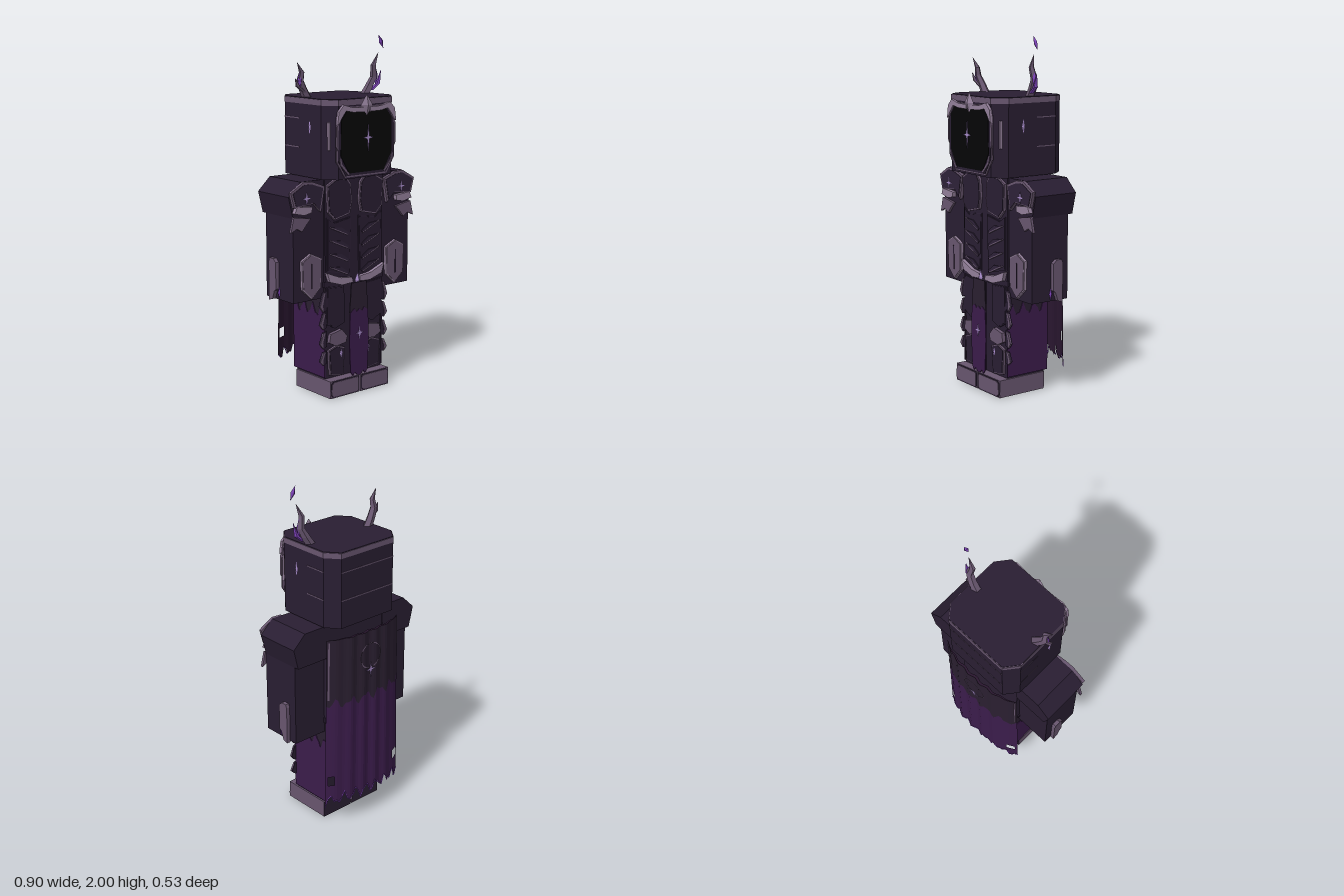
import * as THREE from 'three';

const mat = (name, color, extra = {}) => Object.assign(new THREE.MeshStandardMaterial({ color, flatShading: true, ...extra }), { name });
const armor = mat('dark armor', 0x291e32);
const plateDark = mat('plate dark', 0x2e2238);
const mauve = mat('mauve plate', 0x68566f);
const pale = mat('pale trim', 0x94809b);
const voidBlack = mat('void black', 0x050506);
const purple = mat('purple cloth', 0x3b1c4b);
const lining = mat('deep purple lining', 0x29162f);
const darkCloth = mat('dark cloth', 0x2a1f30);
const crystal = mat('violet crystal', 0x7d42b8);
const glow = mat('lavender glow', 0xa78bc9);

export function createModel() {
  const root = new THREE.Group();
  const add = (name, geo, m) => {
    const mesh = new THREE.Mesh(geo, m);
    mesh.name = name;
    root.add(mesh);
    return mesh;
  };
  const box = (name, x0, x1, y0, y1, z0, z1, m) => {
    const b = add(name, new THREE.BoxGeometry(Math.abs(x1 - x0), y1 - y0, z1 - z0), m);
    b.position.set((x0 + x1) / 2, (y0 + y1) / 2, (z0 + z1) / 2);
    return b;
  };
  const shapeOf = pts => new THREE.Shape(pts.map(p => new THREE.Vector2(...p)));
  // polygon in the front plane, extruded from z by depth
  const plate = (name, pts, z, depth, m) => {
    const g = new THREE.ExtrudeGeometry(shapeOf(pts), { depth, bevelEnabled: false });
    g.translate(0, 0, z);
    return add(name, g, m);
  };
  const flip = (pts, s) => pts.map(([x, y]) => [x * s, y]);
  const mirrored = pts => [...pts, ...flip(pts, -1).reverse()];
  // plate with a thin raised face inside a contrasting rim
  const rimmed = (name, pts, z, depth, face, rim, w = 0.007) => {
    plate(name + 'Rim', pts, z, depth, rim);
    const xs = pts.map(p => p[0]), ys = pts.map(p => p[1]);
    const x0 = Math.min(...xs), x1 = Math.max(...xs), y0 = Math.min(...ys), y1 = Math.max(...ys);
    const cx = (x0 + x1) / 2, cy = (y0 + y1) / 2;
    const kx = 1 - 2 * w / (x1 - x0), ky = 1 - 2 * w / (y1 - y0);
    plate(name, pts.map(([x, y]) => [cx + (x - cx) * kx, cy + (y - cy) * ky]), z, depth + 0.003, face);
  };
  const star = (name, x, y, z, w, h) => {
    const t = 0.2 * w;
    return plate(name, [[0, h], [t, t], [w, 0], [t, -t], [0, -h], [-t, -t], [-w, 0], [-t, t]].map(p => [p[0] + x, p[1] + y]), z, 0.003, glow);
  };
  const gem = (name, x, y, z, w, h, d, m) => {
    const g = add(name, new THREE.OctahedronGeometry(1), m);
    g.scale.set(w, h, d);
    g.position.set(x, y, z);
    return g;
  };
  // faces from a list of four-cornered loops
  const quads = (name, list, m) => {
    const g = new THREE.BufferGeometry();
    g.setAttribute('position', new THREE.Float32BufferAttribute(list.flatMap(([a, b, c, d]) => [a, b, c, a, c, d].flat()), 3));
    g.computeVertexNormals();
    return add(name, g, m);
  };

  // head: chamfered block with a lighter top band
  const octagon = (name, k, y, h, m) => {
    const pts = mirrored([[0.19, 0.235], [0.25, 0.16], [0.25, -0.16], [0.19, -0.235]]).map(p => [p[0] * k, p[1] * k]);
    const g = new THREE.ExtrudeGeometry(shapeOf(pts), { depth: h, bevelEnabled: false });
    g.rotateX(-Math.PI / 2);
    g.translate(0, y, 0);
    add(name, g, m);
  };
  octagon('head', 1, 1.24, 0.4, armor);
  octagon('headBand', 1.005, 1.64, 0.03, mauve);
  octagon('headTop', 0.99, 1.66, 0.014, armor);

  // face opening, brow and crest
  rimmed('faceFrame', mirrored([[0, 1.63], [0.16, 1.635], [0.205, 1.58], [0.208, 1.34], [0.15, 1.25]]), 0.232, 0.008, armor, mauve, 0.008);
  plate('faceVoid', mirrored([[0, 1.605], [0.14, 1.612], [0.18, 1.56], [0.182, 1.37], [0.125, 1.272]]), 0.24, 0.006, voidBlack);
  for (const s of [1, -1]) {
    plate('brow', flip([[0.02, 1.6], [0.02, 1.625], [0.1, 1.627], [0.165, 1.645], [0.2, 1.61], [0.21, 1.54], [0.195, 1.55], [0.18, 1.575], [0.15, 1.612], [0.1, 1.602]], s), 0.236, 0.016, pale);
    plate('cheekEdge', flip([[0.197, 1.55], [0.209, 1.53], [0.212, 1.42], [0.201, 1.4]], s), 0.236, 0.01, mauve);
    plate('jawEdge', flip([[0.182, 1.36], [0.192, 1.36], [0.185, 1.32], [0.13, 1.262], [0.122, 1.27], [0.174, 1.325]], s), 0.236, 0.011, mauve);
    gem('templeCrystal', s * 0.25, 1.515, 0.06, 0.006, 0.042, 0.01, glow);
    // slender strip on the front chamfer
    box('cheekStrip', s * 0.224 - 0.006, s * 0.224 + 0.006, 1.4, 1.55, 0.188, 0.202, pale);
    for (const y of [1.4, 1.56]) box('sideSeam', s * 0.25 - 0.002, s * 0.25 + 0.002, y - 0.003, y + 0.003, -0.16, -0.03, mauve);
  }
  for (const y of [1.4, 1.56]) box('backSeam', -0.19, 0.19, y - 0.003, y + 0.003, -0.237, -0.233, mauve);
  gem('crest', 0, 1.636, 0.245, 0.043, 0.06, 0.014, pale);
  star('faceStar', 0, 1.46, 0.258, 0.038, 0.075);

  // horns: five-sided rings lofted along a crooked path of [x, y, z, radius]
  const loft = (name, path, m) => {
    const list = [], n = 5;
    const at = (i, j) => {
      const [x, y, z, r] = path[i], a = j / n * Math.PI * 2;
      return [x + r * Math.cos(a), y, z - r * 0.8 * Math.sin(a)];
    };
    for (let i = 0; i < path.length - 1; i++) for (let j = 0; j < n; j++) list.push([at(i, j), at(i, j + 1), at(i + 1, j + 1), at(i + 1, j)]);
    quads(name, list, m);
  };
  loft('rightHorn', [[-0.205, 1.66, -0.012, 0.032], [-0.24, 1.72, -0.008, 0.027], [-0.265, 1.765, 0, 0.023], [-0.26, 1.81, 0.008, 0.017], [-0.297, 1.865, 0.015, 0.001]], mauve);
  loft('rightHornBranch', [[-0.235, 1.7, 0, 0.016], [-0.285, 1.735, 0.006, 0.015], [-0.308, 1.78, 0.012, 0.001]], mauve);
  loft('leftHorn', [[0.205, 1.66, -0.012, 0.032], [0.24, 1.715, -0.008, 0.028], [0.265, 1.765, 0, 0.023], [0.253, 1.83, 0.01, 0.018], [0.283, 1.9, 0.017, 0.001]], mauve);
  loft('leftHornCrystal', [[0.245, 1.69, 0.004, 0.014], [0.288, 1.725, 0.01, 0.016], [0.305, 1.8, 0.015, 0.001]], crystal);
  for (const s of [1, -1]) gem('hornVein', s * 0.272, 1.77, 0.006, 0.018, 0.055, 0.012, crystal);
  gem('floatingShard', 0.3, 1.962, 0.02, 0.016, 0.042, 0.011, crystal).rotation.z = 0.45;

  // torso and belt
  box('torso', -0.21, 0.21, 0.62, 1.24, -0.14, 0.14, armor);
  gem('beltGem', 0, 0.65, 0.172, 0.02, 0.045, 0.014, glow);
  for (const s of [1, -1]) {
    rimmed('chestPlate', flip([[0.035, 1.2], [0.06, 1.23], [0.14, 1.235], [0.205, 1.2], [0.195, 1.05], [0.15, 1.005], [0.04, 1.03], [0.025, 1.1]], s), 0.14, 0.014, armor, mauve, 0.009);
    rimmed('abdomenPlate', flip([[0.025, 1.01], [0.15, 0.99], [0.2, 1.02], [0.2, 0.72], [0.035, 0.68]], s), 0.139, 0.006, armor, plateDark, 0.006);
    for (let i = 0; i < 4; i++) {
      const y = 0.95 - i * 0.075;
      plate('rib', flip([[0.18, y + 0.015], [0.055, y - 0.04], [0.045, y - 0.03], [0.1, y + 0.008]], s), 0.145, 0.009, plateDark);
      plate('ribEdge', flip([[0.18, y + 0.012], [0.055, y - 0.043], [0.055, y - 0.036], [0.178, y + 0.019]], s), 0.146, 0.009, mauve);
    }
    plate('belt', flip([[0.21, 0.715], [0.19, 0.66], [0.1, 0.632], [0.02, 0.637], [0.03, 0.665], [0.11, 0.675]], s), 0.14, 0.022, pale);
    box('hipBand', s * 0.205 - 0.012, s * 0.205 + 0.012, 0.63, 0.66, -0.13, 0.142, armor);

    // arm with pauldron
    box('arm', s * 0.21, s * 0.42, 0.57, 1.1, -0.115, 0.13, armor);
    plate('pauldron', flip([[0.2, 1.235], [0.37, 1.235], [0.45, 1.16], [0.42, 1.04], [0.21, 1.04]], s), -0.145, 0.275, armor);
    rimmed('pauldronFront', flip([[0.215, 1.2], [0.3, 1.232], [0.36, 1.235], [0.448, 1.185], [0.425, 1.1], [0.29, 1.11], [0.24, 1.06]], s), 0.13, 0.018, plateDark, mauve, 0.014);
    star('pauldronStar', s * 0.345, 1.145, 0.152, 0.027, 0.032);
    plate('pauldronPlate', flip([[0.305, 1.095], [0.41, 1.105], [0.425, 1.07], [0.36, 1.055], [0.31, 1.065]], s), 0.13, 0.024, pale);
    plate('pauldronWing', flip([[0.31, 1.03], [0.425, 1.05], [0.447, 0.965], [0.405, 0.985], [0.37, 0.965], [0.34, 1]], s), 0.13, 0.015, mauve);
    // bracers
    rimmed('bracer', flip([[0.235, 0.8], [0.31, 0.835], [0.375, 0.8], [0.37, 0.64], [0.305, 0.58], [0.24, 0.64]], s), 0.13, 0.015, mauve, pale, 0.007);
    box('bracerGroove', s * 0.307 - 0.003, s * 0.307 + 0.003, 0.64, 0.78, 0.14, 0.151, armor);
    const guard = plate('armGuard', [[-0.032, 0.78], [-0.01, 0.8], [0.025, 0.8], [0.032, 0.78], [0.032, 0.56], [0, 0.57], [-0.018, 0.62], [-0.032, 0.63]], -0.012, 0.024, mauve);
    guard.rotation.y = Math.PI / 2;
    guard.position.set(s * 0.43, 0, -0.033);
    gem('armCrystal', s * 0.424, 0.61, 0.005, 0.008, 0.035, 0.01, crystal);

    // leg with armor plates
    box('leg', s * 0.002, s * 0.205, 0.09, 0.64, -0.12, 0.135, armor);
    rimmed('thighPlate', flip([[0.075, 0.62], [0.2, 0.63], [0.205, 0.42], [0.14, 0.385], [0.07, 0.41]], s), 0.135, 0.01, armor, plateDark, 0.006);
    plate('kneePlate', flip([[0.06, 0.33], [0.1, 0.375], [0.18, 0.36], [0.19, 0.31], [0.14, 0.285], [0.07, 0.295]], s), 0.135, 0.022, mauve);
    rimmed('shinPlate', flip([[0.07, 0.265], [0.13, 0.285], [0.19, 0.265], [0.18, 0.12], [0.085, 0.105]], s), 0.135, 0.014, armor, mauve, 0.007);
    gem('shinCrystal', s * 0.1, 0.235, 0.152, 0.01, 0.025, 0.006, glow);
    for (const [y, h] of [[0.55, 0.06], [0.44, 0.05], [0.33, 0.05], [0.225, 0.04]]) {
      plate('legSidePlate', flip([[0.2, y + h], [0.225, y + h * 0.8], [0.248, y - h * 0.4], [0.222, y - h], [0.2, y - h * 0.8]], s), 0.132, 0.012, armor);
      plate('legSideEdge', flip([[0.21, y + h * 0.9], [0.225, y + h * 0.8], [0.248, y - h * 0.4], [0.225, y - h], [0.228, y - h * 0.3]], s), 0.138, 0.009, mauve);
    }
    // ragged side cloth
    const rag = [[-0.14, 0.11], [0.14, 0.11]];
    for (let i = 0; i <= 24; i++) rag.push([0.14 - i * 0.28 / 24, 0.49 + 0.03 * Math.sin(i * 0.95) + 0.01 * Math.cos(i * 2.1)]);
    const side = plate('sideCloth', rag, -0.003, 0.006, purple);
    side.rotation.y = Math.PI / 2;
    side.position.x = s * 0.211;
    box('sideClothTop', s * 0.206, s * 0.21, 0.11, 0.64, -0.14, 0.14, darkCloth);
    // boot: lighter front, sides and top; dark heel and sole
    box('boot', s * 0.005, s * 0.215, 0, 0.1, -0.115, 0.195, [mauve, mauve, mauve, armor, mauve, armor]);
    rimmed('bootToe', flip([[0.008, 0.015], [0.02, 0.005], [0.2, 0.005], [0.215, 0.02], [0.21, 0.085], [0.195, 0.098], [0.015, 0.098], [0.008, 0.085]], s), 0.19, 0.008, mauve, plateDark, 0.005);
  }

  // front tabard
  plate('tabardTop', mirrored([[0.055, 0.64], [0.068, 0.46], [0, 0.45]]), 0.18, 0.006, darkCloth);
  plate('tabard', mirrored([[0, 0.485], [0.02, 0.47], [0.035, 0.49], [0.065, 0.47], [0.072, 0.3], [0.062, 0.12], [0.045, 0.1], [0.03, 0.118], [0.012, 0.098]]), 0.183, 0.006, purple);
  star('tabardStar', 0, 0.345, 0.19, 0.027, 0.036);

  // cape: columns of quads between row curves, pleated and bowed outward, with an inner lining
  const cols = 36;
  const capePoint = (u, y, inset = 0) => [u * (0.285 - 0.02 * (y - 0.15)), y, -0.2 - 0.06 * (1 - Math.abs(u) ** 3) + 0.006 * Math.cos(u * 19) * (1 - u * u) + inset * (1.1 - u * u)];
  const hem = u => 0.185 + 0.025 * Math.sin(u * 23) + 0.018 * Math.cos(u * 41) - 0.015 * u * u;
  const fade = u => 0.79 + 0.022 * Math.sin(u * 17) + 0.015 * Math.cos(u * 31);
  const spans = Array.from({ length: cols }, (_, i) => [2 * i / cols - 1, 2 * (i + 1) / cols - 1]);
  const capeRow = (name, upper, lower, m, inner, skip = () => false) => {
    const kept = spans.filter((_, i) => !skip(i));
    const loop = ([u, v], inset) => [capePoint(u, upper(u), inset), capePoint(v, upper(v), inset), capePoint(v, lower(v), inset), capePoint(u, lower(u), inset)];
    quads(name, kept.map(s => loop(s, 0)), m);
    quads(name + 'Lining', kept.map(s => loop(s, 0.014).reverse()), inner);
  };
  const hole = i => (i > 0 && i < 4) || (i > cols - 4 && i < cols - 1);
  capeRow('capeTop', () => 1.18, fade, darkCloth, darkCloth);
  capeRow('capeCloth', fade, () => 0.33, purple, lining);
  capeRow('capeHoleBand', () => 0.33, () => 0.275, purple, lining, hole);
  capeRow('capeLower', () => 0.275, hem, purple, lining);
  quads('capeTopEdge', spans.map(([u, v]) => [capePoint(u, 1.18), capePoint(u, 1.18, 0.014), capePoint(v, 1.18, 0.014), capePoint(v, 1.18)]), lining);
  // cape edging and emblem
  for (const s of [1, -1]) quads('capeEdge', [[1.165, 0.82]].map(([a, b]) => {
    const at = (u, y) => { const p = capePoint(u * s, y); p[2] -= 0.004; return p; };
    const loop = [at(0.95, a), at(0.98, a), at(0.98, b), at(0.95, b)];
    return s > 0 ? loop : loop.reverse();
  }), mauve);
  spans.forEach(s => {
    const [p, q] = s.map(u => new THREE.Vector3(...capePoint(u, hem(u))));
    add('hemEdge', new THREE.TubeGeometry(new THREE.LineCurve3(p, q), 1, 0.003, 4), crystal);
  });
  const ring = add('capeRing', new THREE.RingGeometry(0.071, 0.078, 24), mauve);
  ring.rotation.y = Math.PI;
  ring.position.set(0, 1.035, -0.268);
  star('capeStar', 0, 0.95, -0.271, 0.036, 0.045);
  return root;
}
